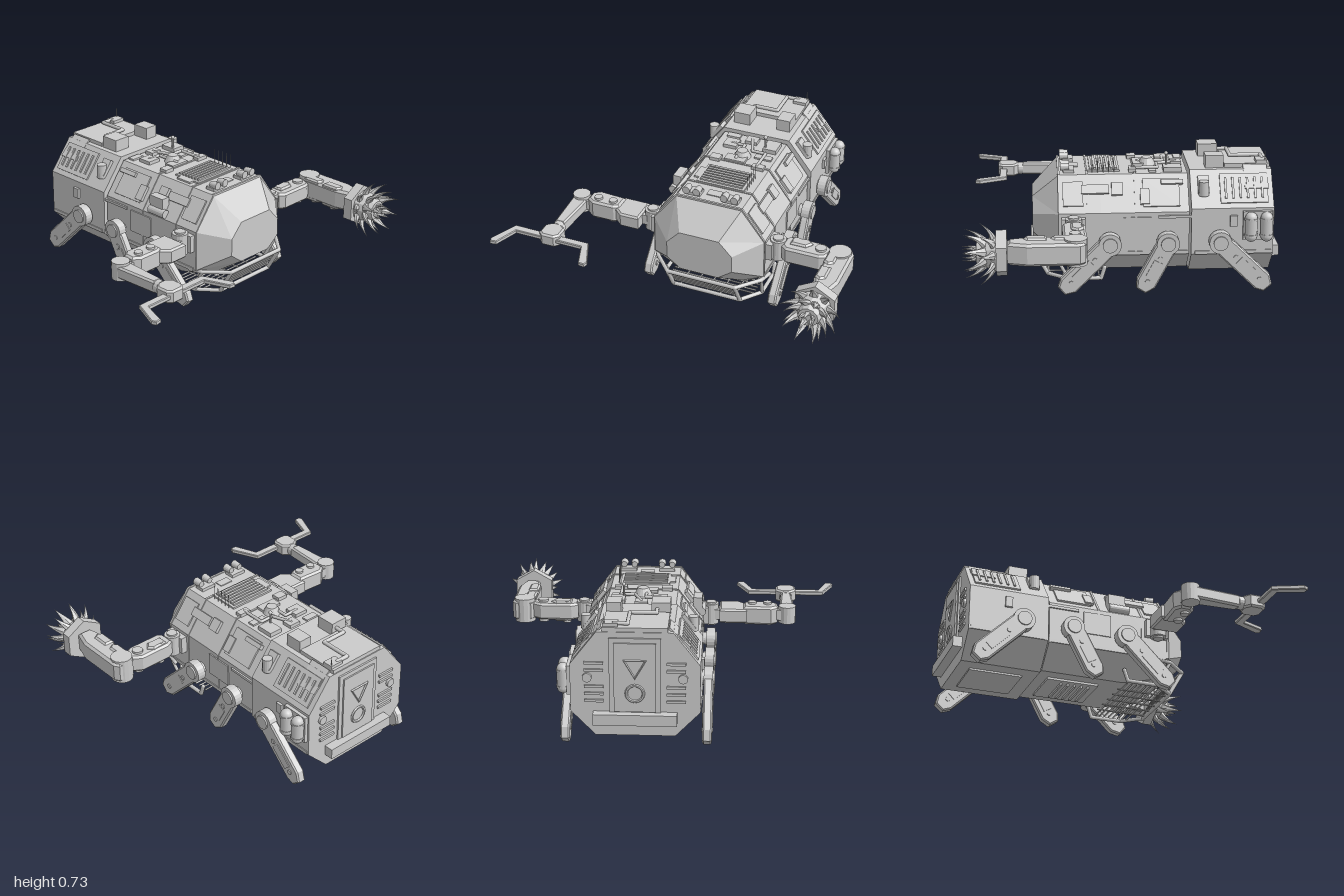
import * as THREE from 'three';

const mat = new THREE.MeshStandardMaterial({ color: 0xcccccc, flatShading: true, side: THREE.DoubleSide });
const smooth = new THREE.MeshStandardMaterial({ color: 0xcccccc });
const CX = 0.11; // hull centre line

function add(parent, name, geo, x = 0, y = 0, z = 0, m = mat) {
  const mesh = new THREE.Mesh(geo, m);
  mesh.name = name;
  mesh.position.set(x, y, z);
  parent.add(mesh);
  return mesh;
}
const group = (parent, name, x = 0, y = 0, z = 0) => {
  const g = new THREE.Group();
  g.name = name;
  g.position.set(x, y, z);
  parent.add(g);
  return g;
};
const box = (p, name, w, h, d, x, y, z) => add(p, name, new THREE.BoxGeometry(w, h, d), x, y, z);
// Cylinder along a chosen axis
function cyl(p, name, r, len, axis, x, y, z, r2 = r, n = 16) {
  const g = new THREE.CylinderGeometry(r2, r, len, n);
  if (axis === 'x') g.rotateZ(-Math.PI / 2);
  if (axis === 'z') g.rotateX(Math.PI / 2);
  return add(p, name, g, x, y, z);
}
function pipe(p, name, pts, r, closed = false) {
  const path = new THREE.CurvePath();
  const v = pts.map(a => new THREE.Vector3(...a));
  if (closed) v.push(v[0].clone());
  for (let i = 1; i < v.length; i++) path.add(new THREE.LineCurve3(v[i - 1], v[i]));
  for (const c of path.curves) add(p, name, new THREE.TubeGeometry(c, 1, r, 8), 0, 0, 0, smooth);
  for (const q of v.slice(closed ? 1 : 0)) add(p, name + 'Joint', new THREE.SphereGeometry(r, 8, 6), q.x, q.y, q.z, smooth);
}
// Outline in x-z, thickened in y
function plate(p, name, pts, thick, x, y, z, bevel = 0.01) {
  const shape = new THREE.Shape(pts.map(a => new THREE.Vector2(...a)));
  const g = new THREE.ExtrudeGeometry(shape, {
    depth: thick - 2 * bevel, bevelEnabled: bevel > 0, bevelSize: bevel, bevelThickness: bevel, bevelOffset: -bevel, bevelSegments: 1,
  });
  g.translate(0, 0, bevel - thick / 2).rotateX(Math.PI / 2);
  return add(p, name, g, x, y, z);
}
// Octagonal section: half widths of flat top, sides and bottom
function section(z, top, side, bot, yTop, yHi, yLo, yBot) {
  const half = [[bot, yBot], [side, yLo], [side, yHi], [top, yTop]];
  return [...half, ...half.slice().reverse().map(([x, y]) => [-x, y])].map(([x, y]) => [x, y, z]);
}
// Skin over sections listed from back to front
function loft(rings) {
  const v = [], n = rings[0].length;
  const mid = r => [0, (r[0][1] + r[3][1]) / 2, r[0][2]];
  for (let j = 0; j < n; j++) {
    const k = (j + 1) % n;
    for (let i = 0; i + 1 < rings.length; i++) {
      const a = rings[i][j], b = rings[i][k], c = rings[i + 1][k], d = rings[i + 1][j];
      v.push(...a, ...b, ...c, ...a, ...c, ...d);
    }
    const last = rings[rings.length - 1];
    v.push(...mid(last), ...last[j], ...last[k], ...mid(rings[0]), ...rings[0][k], ...rings[0][j]);
  }
  const g = new THREE.BufferGeometry();
  g.setAttribute('position', new THREE.Float32BufferAttribute(v, 3));
  g.computeVertexNormals();
  return g;
}

function buildHull(root) {
  const h = group(root, 'hull', CX);
  add(h, 'frontHull', loft([section(-0.36, 0.19, 0.325, 0.2, 0.61, 0.43, 0.19, 0.07),
    section(0.12, 0.19, 0.325, 0.2, 0.61, 0.43, 0.19, 0.07), section(0.35, 0.19, 0.325, 0.2, 0.61, 0.43, 0.2, 0.13)]));
  add(h, 'nose', loft([section(0.35, 0.19, 0.325, 0.2, 0.605, 0.43, 0.2, 0.14),
    section(0.49, 0.115, 0.19, 0.11, 0.47, 0.39, 0.29, 0.23)]));
  add(h, 'rearHull', loft([section(-0.82, 0.2, 0.34, 0.21, 0.63, 0.45, 0.19, 0.055), section(-0.37, 0.2, 0.34, 0.21, 0.63, 0.45, 0.19, 0.055)]));
  // Seam ribs
  for (const z of [-0.07, 0.19, 0.345])
    add(h, 'hullRib', loft([section(z - 0.006, 0.193, 0.329, 0.2, 0.615, 0.432, 0.2, 0.14), section(z + 0.006, 0.193, 0.329, 0.2, 0.615, 0.432, 0.2, 0.14)]));

  // Back hatch, vents and step
  box(h, 'backFrame', 0.27, 0.44, 0.012, 0, 0.38, -0.824);
  box(h, 'backDoor', 0.22, 0.38, 0.012, 0, 0.385, -0.832);
  add(h, 'doorWheel', new THREE.TorusGeometry(0.045, 0.008, 6, 20), 0, 0.3, -0.84);
  add(h, 'doorTriangle', new THREE.TorusGeometry(0.065, 0.008, 4, 3), 0, 0.45, -0.84).rotation.z = -Math.PI / 2;
  box(h, 'rearStep', 0.44, 0.06, 0.055, 0, 0.16, -0.845);
  for (const s of [-1, 1]) {
    for (const y of [0.25, 0.29, 0.33, 0.42, 0.46]) box(h, 'backVent', 0.1, 0.014, 0.012, s * 0.215, y, -0.825);
    cyl(h, 'tailLight', 0.025, 0.02, 'z', s * 0.25, 0.38, -0.825);
  }

  // Roof
  box(h, 'roofGrilleFrame', 0.28, 0.012, 0.18, 0, 0.614, 0.1);
  for (let i = 0; i < 7; i++) box(h, 'roofSlat', 0.25, 0.012, 0.014, 0, 0.623, 0.03 + i * 0.023);
  box(h, 'rearRoofPanel', 0.34, 0.035, 0.25, 0, 0.635, -0.69);
  const roofBoxes = [[-0.12, -0.5, 0.1, 0.08, 0.11], [0.13, -0.51, 0.08, 0.08, 0.1], [0.13, -0.77, 0.08, 0.05, 0.06], [-0.1, -0.24, 0.08, 0.03, 0.08],
    [0.0, -0.31, 0.07, 0.03, 0.06], [0.13, -0.28, 0.08, 0.035, 0.1], [-0.02, -0.1, 0.12, 0.025, 0.06], [0.13, -0.06, 0.07, 0.03, 0.04],
    [-0.13, -0.07, 0.06, 0.03, 0.05], [-0.12, -0.33, 0.08, 0.02, 0.04], [0.12, -0.17, 0.1, 0.02, 0.04], [-0.15, 0.1, 0.04, 0.02, 0.1], [0, 0.26, 0.08, 0.015, 0.05]];
  for (const [x, z, w, t, d] of roofBoxes) box(h, 'roofUnit', w, t, d, x, (z < -0.37 ? 0.63 : 0.61) + t / 2 - 0.01, z);
  pipe(h, 'roofPipe', [[-0.1, 0.665, -0.54], [-0.1, 0.665, -0.61], [0.04, 0.665, -0.61], [0.04, 0.665, -0.78], [0.11, 0.665, -0.78]], 0.011);
  pipe(h, 'roofPipe', [[-0.1, 0.625, -0.24], [-0.02, 0.625, -0.24], [-0.02, 0.625, -0.1]], 0.009);
  pipe(h, 'roofPipe', [[0.0, 0.625, -0.31], [0.04, 0.625, -0.2], [0.12, 0.625, -0.2], [0.12, 0.625, -0.06]], 0.009);
  cyl(h, 'mast', 0.006, 0.09, 'y', 0.1, 0.655, -0.25, 0.006, 8);
  add(h, 'mastTip', new THREE.SphereGeometry(0.011, 10, 8), 0.1, 0.7, -0.25, smooth);
  cyl(h, 'rearAntenna', 0.004, 0.08, 'y', 0.16, 0.68, -0.79, 0.002, 6);
  for (let i = 0; i < 5; i++) cyl(h, 'whipAntenna', 0.0025, 0.09, 'y', 0.15, 0.65, 0.04 + i * 0.03, 0.0015, 5);
  cyl(h, 'roofDome', 0.05, 0.04, 'y', 0, 0.63, -0.15, 0.03);
  for (const s of [-1, 1]) {
    const l = group(h, 'headlights', s * 0.11, 0.61, 0.29);
    box(l, 'lightBase', 0.09, 0.02, 0.06, 0, 0.008, 0);
    for (const x of [-0.03, 0.03]) cyl(l, 'lamp', 0.017, 0.05, 'z', x, 0.033, 0.02, 0.022);
  }

  // Fittings on the sloping shoulders and the flanks
  for (const s of [-1, 1]) {
    const slope = (name, w, t, d, z, f = 0.5, tilt = 0) => {
      const b = box(h, name, w, t, d, s * (0.19 + 0.137 * f + (z < -0.37 ? 0.012 : 0)), 0.61 - 0.18 * f + (z < -0.37 ? 0.02 : 0), z);
      b.rotation.z = -s * (0.92 + tilt);
    };
    slope('shoulderPanel', 0.17, 0.02, 0.26, -0.66);
    for (let i = 0; i < 6; i++) slope('shoulderVent', 0.12, 0.035, 0.012, -0.76 + i * 0.04);
    slope('raisedFlap', 0.15, 0.01, 0.13, -0.73, 0.2, -0.15);
    slope('shoulderBox', 0.1, 0.04, 0.06, -0.44, 0.4);
    slope('shoulderPanel', 0.16, 0.018, 0.2, -0.21);
    slope('shoulderHandle', 0.025, 0.05, 0.12, -0.27, 0.25);
    slope('shoulderBox', 0.09, 0.035, 0.05, -0.12, 0.6);
    slope('shoulderBox', 0.07, 0.04, 0.06, 0.03, 0.4);
    slope('shoulderSlot', 0.05, 0.035, 0.15, 0.15, 0.4);
    slope('shoulderPanel', 0.14, 0.016, 0.11, 0.27);
    cyl(h, 'shoulderCanister', 0.028, 0.08, 'y', s * 0.29, 0.55, -0.44);
    box(h, 'sidePanel', 0.014, 0.13, 0.16, s * 0.325, 0.34, -0.08);
    box(h, 'sideRail', 0.02, 0.015, 0.18, s * 0.325, 0.405, -0.28);
    box(h, 'sideBox', 0.03, 0.06, 0.04, s * 0.34, 0.38, -0.6);
    box(h, 'skirt', 0.02, 0.02, 0.42, s * 0.335, 0.2, -0.6);
    box(h, 'skirt', 0.02, 0.02, 0.68, s * 0.32, 0.2, -0.01);
  }
  // Tanks on the left, equipment pack on the right
  for (const z of [-0.69, -0.775]) {
    add(h, 'tank', new THREE.CapsuleGeometry(0.034, 0.1, 6, 16), 0.38, 0.355, z, smooth);
    for (const y of [0.31, 0.4]) cyl(h, 'tankBand', 0.037, 0.012, 'y', 0.38, y, z);
  }
  box(h, 'tankRack', 0.03, 0.16, 0.16, 0.345, 0.355, -0.73);
  box(h, 'sidePack', 0.05, 0.09, 0.1, -0.3, 0.5, 0.04);
  cyl(h, 'packCylinder', 0.025, 0.12, 'z', -0.32, 0.46, 0.05);

  // Underside plates
  for (const z of [-0.6, -0.15]) box(h, 'bellyPlate', 0.26, 0.02, 0.3, 0, z < -0.4 ? 0.055 : 0.068, z);
  for (let i = 0; i < 5; i++) box(h, 'bellySlat', 0.2, 0.03, 0.012, 0, 0.06, -0.05 - i * 0.04);
}

function buildBumper(root) {
  const b = group(root, 'bumper', CX + 0.01);
  pipe(b, 'upperRail', [[-0.33, 0.19, 0.3], [-0.31, 0.19, 0.37], [-0.2, 0.19, 0.49], [0.2, 0.19, 0.49], [0.31, 0.19, 0.37], [0.33, 0.19, 0.3]], 0.012);
  pipe(b, 'lowerRail', [[-0.29, 0.11, 0.1], [-0.29, 0.05, 0.12], [-0.29, 0.05, 0.3], [-0.2, 0.05, 0.41], [0.2, 0.05, 0.41], [0.29, 0.05, 0.3], [0.29, 0.05, 0.12], [0.29, 0.11, 0.1]], 0.012);
  for (const s of [-1, 1]) {
    pipe(b, 'upright', [[s * 0.2, 0.19, 0.49], [s * 0.2, 0.05, 0.41]], 0.012);
    pipe(b, 'strut', [[s * 0.31, 0.19, 0.37], [s * 0.29, 0.05, 0.3]], 0.01);
  }
  for (let i = 0; i < 6; i++) pipe(b, 'grilleBar', [[-0.19, 0.075 + i * 0.018, 0.41 + i * 0.011], [0.19, 0.075 + i * 0.018, 0.41 + i * 0.011]], 0.004);
  for (let i = 0; i < 8; i++) pipe(b, 'floorBar', [[-0.25, 0.05, 0.13 + i * 0.028], [0.25, 0.05, 0.13 + i * 0.028]], 0.005);
  for (let i = -2; i <= 2; i++) pipe(b, 'floorBeam', [[i * 0.08, 0.05, 0.11], [i * 0.08, 0.05, 0.41]], 0.005);
}

function buildLegs(root) {
  const legs = [[0.075, 0.235], [-0.24, 0.125], [-0.525, -0.24]]; // pivot z and forward reach
  for (const s of [-1, 1]) for (const [z, reach] of legs) {
    const leg = group(root, 'leg', CX + s * 0.375, 0.27, z);
    cyl(leg, 'hipAxle', 0.035, 0.1, 'x', -s * 0.03, 0, 0);
    cyl(leg, 'hipDisc', 0.062, 0.05, 'x', 0, 0, 0, 0.062, 20);
    cyl(leg, 'hipCap', 0.04, 0.068, 'x', 0, 0, 0, 0.04, 20);
    const L = Math.hypot(reach, 0.235), w = 0.056;
    const pts = [[-0.045, 0.03], [0.045, 0.03], [w, -0.05], [w, -L + 0.01], [0.035, -L - 0.035], [-0.025, -L - 0.04], [-w, -L + 0.01], [-w, -0.05]];
    const limb = plate(leg, 'limb', pts, 0.05, 0, 0, 0, 0.008);
    limb.geometry.rotateX(-Math.PI / 2).rotateY(-Math.PI / 2);
    limb.rotation.x = -Math.atan2(reach, 0.235);
    const pad = box(limb, 'limbPanel', 0.058, L * 0.4, 0.05, 0, -L * 0.62, 0);
    for (const t of [-0.35, -0.9]) cyl(pad.parent, 'limbBolt', 0.014, 0.06, 'x', 0, L * t, 0, 0.014, 8);
  }
}

function shoulder(p, x) {
  cyl(p, 'shoulderJoint', 0.045, 0.12, 'y', x, 0.36, 0.27);
  cyl(p, 'shoulderPin', 0.03, 0.14, 'y', x, 0.36, 0.27);
  box(p, 'shoulderMount', 0.07, 0.1, 0.13, x + (x > CX ? -0.05 : 0.05), 0.36, 0.27);
}
const bolt = (p, x, z, r = 0.024, h = 0.135) => cyl(p, 'bolt', r, h, 'y', x, 0.36, z, r, 12);

function buildDrillArm(root) {
  const a = group(root, 'drillArm');
  shoulder(a, 0.487);
  plate(a, 'upperArm', [[0.52, 0.23], [0.56, 0.21], [0.74, 0.21], [0.8, 0.25], [0.77, 0.32], [0.74, 0.335], [0.55, 0.335], [0.52, 0.31]], 0.1, 0, 0.365, 0, 0.012);
  plate(a, 'upperArmCover', [[0.56, 0.23], [0.65, 0.22], [0.68, 0.25], [0.65, 0.29], [0.56, 0.29]], 0.125, 0, 0.365, 0);
  bolt(a, 0.59, 0.255); bolt(a, 0.73, 0.27, 0.03);
  cyl(a, 'elbow', 0.06, 0.14, 'y', 0.84, 0.365, 0.27);
  plate(a, 'forearm', [[0.78, 0.25], [0.8, 0.22], [0.89, 0.22], [0.91, 0.25], [0.91, 0.52], [0.88, 0.62], [0.8, 0.62], [0.775, 0.52]], 0.12, 0, 0.365, 0, 0.014);
  for (const z of [0.34, 0.48]) {
    plate(a, 'forearmCover', [[0.78, z - 0.06], [0.84, z - 0.06], [0.84, z + 0.04], [0.81, z + 0.06], [0.78, z + 0.04]], 0.14, 0, 0.365, 0);
    bolt(a, 0.81, z, 0.018, 0.15);
  }
  // Cutting head with curved claws in three rings
  const head = group(a, 'drillHead', 0.835, 0.36, 0.62);
  cyl(head, 'collar', 0.125, 0.055, 'z', 0, 0, 0.03, 0.125, 6);
  cyl(head, 'hub', 0.1, 0.12, 'z', 0, 0, 0.1, 0.055, 12);
  const claw = new THREE.ConeGeometry(0.036, 0.13, 6, 5).translate(0, 0.065, 0);
  const p = claw.attributes.position;
  for (let i = 0; i < p.count; i++) p.setZ(i, p.getZ(i) * 0.7 + 4.5 * p.getY(i) ** 2);
  claw.computeVertexNormals();
  [[9, 0.065, 0.07, 0.1], [8, 0.055, 0.115, 0.45], [5, 0.02, 0.145, 0.85]].forEach(([n, r, z, tilt], ring) => {
    for (let i = 0; i < n; i++) {
      const spoke = group(head, 'clawSpoke');
      spoke.rotation.z = (i + ring * 0.5) / n * Math.PI * 2;
      const c = add(spoke, 'claw', claw, 0, r, z);
      c.rotation.x = tilt;
      c.scale.setScalar([0.82, 0.85, 0.6][ring]);
    }
  });
}

function buildGripperArm(root) {
  const a = group(root, 'gripperArm');
  shoulder(a, -0.26);
  plate(a, 'upperArm', [[-0.31, 0.2], [-0.47, 0.2], [-0.47, 0.32], [-0.42, 0.365], [-0.31, 0.365]], 0.085, 0, 0.36, 0);
  box(a, 'shoulderLink', 0.08, 0.06, 0.08, -0.29, 0.36, 0.27);
  plate(a, 'armLink', [[-0.45, 0.22], [-0.61, 0.21], [-0.65, 0.24], [-0.65, 0.3], [-0.61, 0.33], [-0.48, 0.33], [-0.45, 0.31]], 0.11, 0, 0.36, 0, 0.012);
  bolt(a, -0.5, 0.285); bolt(a, -0.59, 0.285);
  cyl(a, 'elbow', 0.05, 0.1, 'y', -0.705, 0.36, 0.27);
  box(a, 'elbowLink', 0.07, 0.06, 0.07, -0.66, 0.36, 0.27);
  plate(a, 'forearm', [[-0.75, 0.29], [-0.66, 0.29], [-0.675, 0.55], [-0.735, 0.55]], 0.07, 0, 0.36, 0);
  cyl(a, 'wrist', 0.037, 0.03, 'z', -0.705, 0.36, 0.56);
  plate(a, 'palm', [[-0.73, 0.57], [-0.68, 0.57], [-0.645, 0.6], [-0.645, 0.67], [-0.67, 0.695], [-0.74, 0.695], [-0.765, 0.67], [-0.765, 0.6]], 0.075, 0, 0.36, 0);
  for (const s of [-1, 1])
    plate(a, 'finger', [[0, 0.64], [0.225, 0.64], [0.295, 0.8], [0.285, 0.825], [0.25, 0.82], [0.2, 0.685], [0, 0.685]].map(([x, z]) => [s * x, z]), 0.024, -0.705, 0.36, 0, 0.004);
}

export function createModel() {
  const root = new THREE.Group();
  root.name = 'walkingMiningVehicle';
  buildHull(root);
  buildBumper(root);
  buildLegs(root);
  buildDrillArm(root);
  buildGripperArm(root);
  return root;
}
